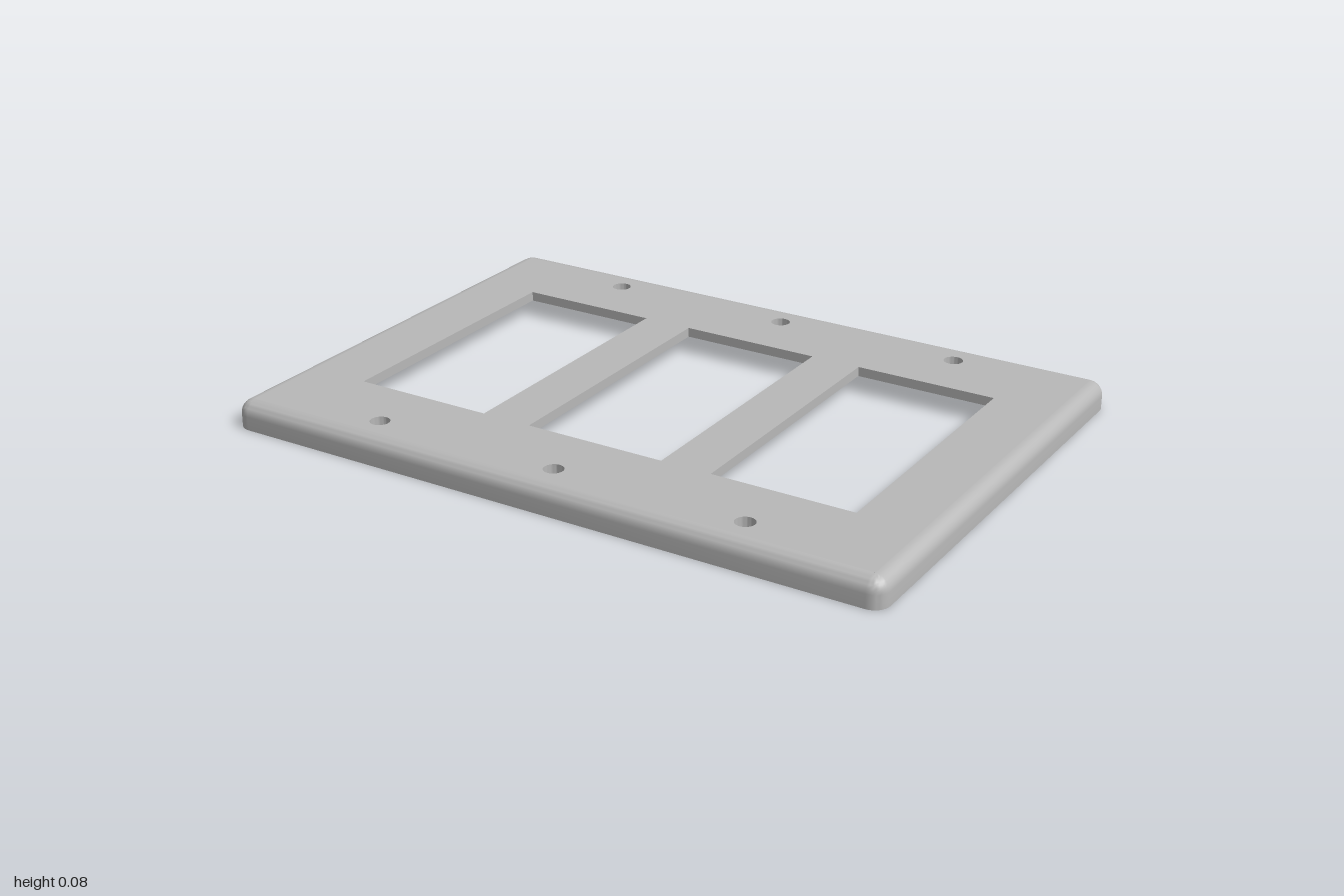
import * as THREE from 'three';
import { toCreasedNormals } from 'three/addons/utils/BufferGeometryUtils.js';

const HALF_X = 1, HALF_Z = 0.705, HEIGHT = 0.08;
const FILLET = 0.04, CORNER = 0.045, WALL = 0.025, CEILING = 0.052;
const COLUMNS = [-0.57, 0, 0.57];
const SCREW_Z = 0.6, SCREW_R = 0.028;

// Quarter-round in the rim profile, as [inset, y] pairs
function quarter(cx, cy, rx, ry, steps) {
  return Array.from({ length: steps + 1 }, (_, i) => {
    const a = (i / steps) * Math.PI / 2;
    return [cx - rx * Math.cos(a), cy + ry * Math.sin(a)];
  });
}

// Rounded-rectangle loop at a given inset from the outer edge
function loop(inset, y, steps = 8) {
  const r = Math.max(CORNER - inset, 0.004), points = [];
  const signs = [[1, 1], [-1, 1], [-1, -1], [1, -1]];
  signs.forEach(([sx, sz], corner) => {
    for (let i = 0; i <= steps; i++) {
      const a = (corner + i / steps) * Math.PI / 2;
      points.push([
        sx * (HALF_X - inset - r) + r * Math.cos(a), y,
        sz * (HALF_Z - inset - r) + r * Math.sin(a)]);
    }
  });
  return points;
}

// Skin a surface over a stack of equal loops
function skin(loops) {
  const n = loops[0].length, index = [];
  for (let i = 0; i < loops.length - 1; i++) {
    for (let j = 0; j < n; j++) {
      const a = i * n + j, b = i * n + (j + 1) % n;
      index.push(a, a + n, b, b, a + n, b + n);
    }
  }
  const g = new THREE.BufferGeometry();
  g.setAttribute('position', new THREE.Float32BufferAttribute(loops.flat(2), 3));
  g.setIndex(index);
  return toCreasedNormals(g, 0.6);
}

// Flat face with three rocker openings and six screw holes
function faceGeometry() {
  const x = HALF_X - FILLET, z = HALF_Z - FILLET;
  const rect = (P, cx, hx, hz) => new P([
    new THREE.Vector2(cx - hx, -hz), new THREE.Vector2(cx + hx, -hz),
    new THREE.Vector2(cx + hx, hz), new THREE.Vector2(cx - hx, hz)]);
  const shape = rect(THREE.Shape, 0, x, z);
  for (const cx of COLUMNS) {
    shape.holes.push(rect(THREE.Path, cx, 0.21, 0.413));
    for (const s of [-1, 1]) {
      shape.holes.push(new THREE.Path().absarc(cx, s * SCREW_Z, SCREW_R, 0, Math.PI * 2, true));
    }
  }
  const g = new THREE.ExtrudeGeometry(shape, {
    depth: HEIGHT - CEILING, bevelEnabled: false, curveSegments: 24 });
  g.rotateX(-Math.PI / 2);
  g.translate(0, CEILING, 0);
  return toCreasedNormals(g, 0.6);
}

export function createModel() {
  const model = new THREE.Group();
  model.name = 'wallPlate';
  const plastic = new THREE.MeshStandardMaterial({ color: 0xb8b8b8 });
  plastic.name = 'grey plastic';
  const add = (name, geometry) => {
    const mesh = new THREE.Mesh(geometry, plastic);
    mesh.name = name;
    model.add(mesh);
    return mesh;
  };

  add('facePlate', faceGeometry());

  // Hollow rim: inner wall down, under the edge, outer wall up and over
  const inner = quarter(FILLET, CEILING - 0.015, FILLET - WALL, 0.015, 4).reverse();
  const outer = quarter(FILLET, HEIGHT - FILLET, FILLET, FILLET, 8);
  const profile = [...inner, [WALL, 0], [0, 0], ...outer];
  add('roundedRim', skin(profile.map(([d, y]) => loop(d, y))));

  // Short collars around the screw holes on the underside
  const collar = toCreasedNormals(new THREE.LatheGeometry([
    [SCREW_R, CEILING], [SCREW_R, 0.034], [0.042, 0.034], [0.042, CEILING],
  ].map(([r, y]) => new THREE.Vector2(r, y)), 24), 0.6);
  for (const x of COLUMNS) {
    for (const s of [-1, 1]) add('screwCollar', collar).position.set(x, 0, s * SCREW_Z);
  }
  return model;
}
